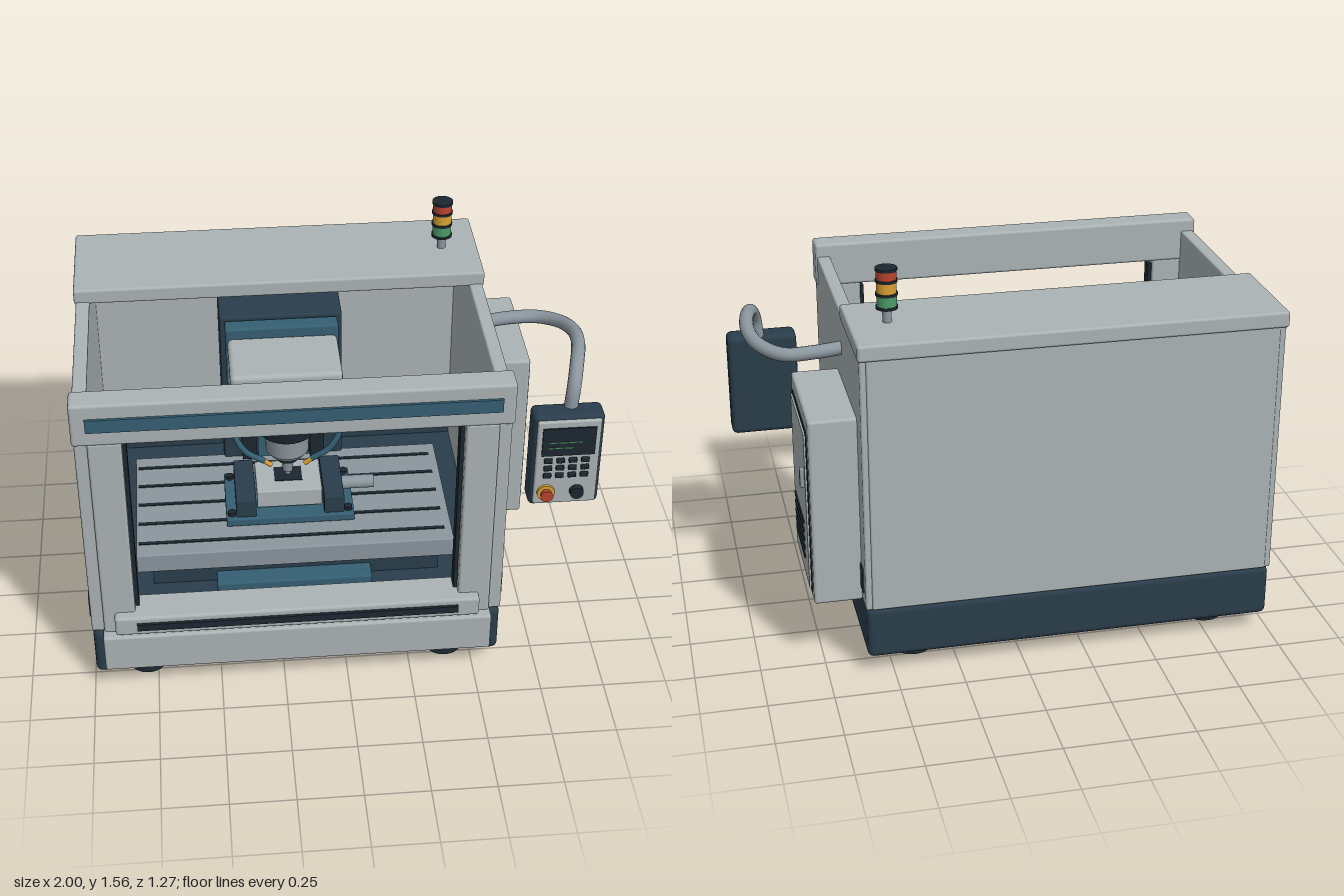
import * as THREE from 'three';
import { RoundedBoxGeometry } from 'three/addons/geometries/RoundedBoxGeometry.js';

const paint = (color) => new THREE.MeshStandardMaterial({ color });
const LIGHT = paint(0xabb3b5), NAVY = paint(0x2a3d4b), BLACK = paint(0x1c272f), TEAL = paint(0x355f73),
  STEEL = paint(0x8b969e), RED = paint(0xb8432f), AMBER = paint(0xd9a032), GREEN = paint(0x4a9a68);
const CX = -0.195; // centre line of the cabinet

export function createModel() {
  const model = new THREE.Group();
  model.name = 'millingMachine';
  let parent = model;

  const add = (name, geometry, material) => {
    const mesh = new THREE.Mesh(geometry, material);
    mesh.name = name;
    parent.add(mesh);
    return mesh;
  };
  const group = (name) => {
    parent = new THREE.Group();
    parent.name = name;
    model.add(parent);
  };
  // Box given by its extents, with an optional edge radius
  const box = (name, m, x0, x1, y0, y1, z0, z1, r = 0) => {
    const s = [x1 - x0, y1 - y0, z1 - z0];
    const g = r ? new RoundedBoxGeometry(...s, 2, r) : new THREE.BoxGeometry(...s);
    add(name, g, m).position.set((x0 + x1) / 2, (y0 + y1) / 2, (z0 + z1) / 2);
  };
  // Cylinder centred at a point, along y, x or z
  const cyl = (name, m, x, y, z, rTop, rBottom, h, axis = 'y') => {
    const c = add(name, new THREE.CylinderGeometry(rTop, rBottom, h, 32), m);
    c.position.set(x, y, z);
    if (axis === 'x') c.rotation.z = -Math.PI / 2;
    if (axis === 'z') c.rotation.x = Math.PI / 2;
  };
  const tube = (name, m, r, points) => {
    const curve = new THREE.CatmullRomCurve3(points.map((p) => new THREE.Vector3(...p)));
    add(name, new THREE.TubeGeometry(curve, 48, r, 14), m);
  };

  // Base, feet and front apron
  group('base');
  box('plinth', NAVY, -0.99, 0.6, 0.07, 0.28, -0.62, 0.58, 0.025);
  for (const x of [-0.79, 0.4])
    for (const z of [0.445, -0.435]) cyl('foot', BLACK, x, 0.04, z, 0.075, 0.075, 0.08);
  box('apron', LIGHT, -0.95, 0.56, 0.12, 0.285, 0.56, 0.625, 0.01);
  box('sill', LIGHT, -0.9, 0.51, 0.295, 0.38, 0.48, 0.625, 0.012);
  box('sillSlot', BLACK, -0.815, 0.425, 0.325, 0.355, 0.62, 0.637);

  // Enclosure, open above the work area and at the front
  group('enclosure');
  for (const s of [-1, 1]) {
    const side = (name, m, a, b, ...rest) =>
      box(name, m, CX + Math.min(s * a, s * b), CX + Math.max(s * a, s * b), ...rest);
    side('sideWall', LIGHT, 0.745, 0.798, 0.28, 1.3, -0.62, 0.57, 0.008);
    side('sideStripe', NAVY, 0.79, 0.803, 0.335, 0.435, -0.58, 0.545);
    side('frontPost', LIGHT, 0.625, 0.75, 0.28, 1.18, 0.49, 0.585, 0.01);
    side('postSeal', BLACK, 0.61, 0.627, 0.38, 1.16, 0.5, 0.55);
    side('upperSideWall', LIGHT, 0.745, 0.798, 1.28, 1.33, -0.62, -0.2);
  }
  box('backWall', LIGHT, -0.97, 0.58, 0.28, 1.3, -0.625, -0.575, 0.008);
  box('roof', LIGHT, -1, 0.61, 1.29, 1.352, -0.635, -0.195, 0.01);
  box('header', LIGHT, -1, 0.61, 1.175, 1.352, 0.485, 0.587, 0.012);
  box('headerStripe', TEAL, -0.945, 0.56, 1.24, 1.295, 0.58, 0.597);
  box('floor', NAVY, -0.945, 0.555, 0.28, 0.325, -0.58, 0.5);
  box('backSkirting', NAVY, -0.945, 0.555, 0.32, 0.4, -0.58, -0.555);

  // Slotted table on its saddle
  group('table');
  box('saddle', TEAL, -0.5, 0.11, 0.32, 0.37, -0.3, 0.44, 0.008);
  box('tableSupport', NAVY, -0.75, 0.38, 0.32, 0.41, -0.24, 0.36);
  box('tableTop', STEEL, -0.81, 0.44, 0.4, 0.485, -0.26, 0.38, 0.006);
  for (let i = 0; i < 5; i++) {
    const z = -0.187 + i * 0.123;
    box('tableSlot', BLACK, -0.8, 0.41, 0.48, 0.488, z - 0.008, z + 0.008);
  }

  // Column with rails and carriage
  group('column');
  box('columnBody', NAVY, -0.44, 0.05, 0.32, 1.17, -0.58, -0.24, 0.01);
  box('columnFace', TEAL, -0.3, -0.09, 0.485, 0.9, -0.25, -0.232);
  for (const s of [-1, 1])
    box('rail', BLACK, CX + s * 0.14 - 0.03, CX + s * 0.14 + 0.03, 0.485, 1.15, -0.25, -0.215);
  box('carriage', TEAL, -0.42, 0.03, 0.86, 1.16, -0.235, -0.165, 0.01);

  // Spindle head, spindle and coolant hoses
  group('spindleHead');
  box('headBody', LIGHT, -0.413, 0.023, 0.88, 1.12, -0.17, 0.115, 0.02);
  box('headDisplay', TEAL, -0.35, -0.04, 0.93, 1.08, 0.11, 0.123);
  const spin = (name, m, y0, y1, rTop, rBottom) => cyl(name, m, CX, (y0 + y1) / 2, 0.06, rTop, rBottom, y1 - y0);
  spin('spindleCollar', BLACK, 0.835, 0.885, 0.118, 0.112);
  spin('spindleBarrel', STEEL, 0.74, 0.835, 0.088, 0.085);
  spin('spindleNose', LIGHT, 0.72, 0.74, 0.085, 0.07);
  spin('spindleNeck', BLACK, 0.69, 0.72, 0.05, 0.045);
  spin('toolHolder', STEEL, 0.63, 0.69, 0.024, 0.02);
  spin('cutter', STEEL, 0.605, 0.63, 0.012, 0.01);
  for (const s of [-1, 1]) {
    const at = (x, y, z) => [CX + s * x, y, z];
    tube('coolantHose', TEAL, 0.012, [at(0.17, 0.89, 0.08), at(0.205, 0.84, 0.09), at(0.17, 0.76, 0.1), at(0.095, 0.7, 0.09)]);
    tube('coolantNozzle', AMBER, 0.01, [at(0.095, 0.7, 0.09), at(0.068, 0.675, 0.085)]);
  }

  // Vise holding a workpiece
  group('vise');
  box('viseBase', TEAL, -0.45, 0.06, 0.485, 0.52, -0.08, 0.23, 0.006);
  for (const s of [-1, 1]) {
    const x = CX + s * 0.175;
    box('viseJaw', NAVY, x - 0.04, x + 0.04, 0.515, 0.6, -0.06, 0.215, 0.006);
    for (const z of [-0.045, 0.195]) cyl('viseBolt', BLACK, CX + s * 0.232, 0.525, z, 0.016, 0.016, 0.02);
  }
  box('workpiece', LIGHT, -0.325, -0.065, 0.53, 0.61, -0.03, 0.175, 0.006);
  box('workpiecePocket', BLACK, -0.25, -0.14, 0.605, 0.613, 0.02, 0.11);
  cyl('viseHandle', STEEL, 0.08, 0.557, 0.07, 0.027, 0.027, 0.14, 'x');

  // Electrical cabinet on the left side
  group('electricalCabinet');
  box('cabinetBody', LIGHT, 0.6, 0.785, 0.275, 1.03, -0.525, -0.035, 0.012);
  box('doorGap', BLACK, 0.77, 0.789, 0.31, 0.975, -0.487, -0.078);
  box('door', LIGHT, 0.775, 0.796, 0.322, 0.963, -0.475, -0.09, 0.004);
  box('doorHandle', STEEL, 0.79, 0.812, 0.735, 0.812, -0.455, -0.428, 0.005);
  for (let i = 0; i < 5; i++) {
    const y = 0.412 + i * 0.037;
    box('vent', BLACK, 0.79, 0.801, y - 0.006, y + 0.006, -0.39, -0.13);
  }

  // Control pendant on its curved arm
  group('pendant');
  tube('pendantArm', STEEL, 0.027, [[0.59, 1.155, -0.14], [0.7, 1.155, -0.165], [0.82, 1.155, -0.165], [0.9, 1.17, -0.1],
    [0.935, 1.19, 0], [0.93, 1.205, 0.12], [0.905, 1.19, 0.23], [0.885, 1.13, 0.3], [0.875, 1.04, 0.315]]);
  box('pendantCase', NAVY, 0.722, 0.998, 0.635, 1.055, 0.287, 0.388, 0.022);
  box('pendantPanel', LIGHT, 0.737, 0.983, 0.652, 1.04, 0.38, 0.4, 0.008);
  box('pendantScreen', BLACK, 0.757, 0.963, 0.885, 1.012, 0.395, 0.406);
  for (const [y, w] of [[0.945, 0.13], [0.92, 0.1]])
    box('screenLine', GREEN, 0.78, 0.78 + w, y, y + 0.004, 0.405, 0.408);
  for (let row = 0; row < 3; row++)
    for (let col = 0; col < 4; col++) {
      const x = 0.785 + col * 0.048, y = 0.861 - row * 0.035;
      box('key', BLACK, x - 0.016, x + 0.016, y - 0.01, y + 0.01, 0.395, 0.411, 0.004);
    }
  cyl('stopRing', AMBER, 0.785, 0.71, 0.404, 0.035, 0.035, 0.014, 'z');
  cyl('stopButton', RED, 0.785, 0.71, 0.42, 0.025, 0.02, 0.026, 'z');
  cyl('dial', BLACK, 0.905, 0.71, 0.409, 0.026, 0.028, 0.026, 'z');

  // Signal tower
  group('signalTower');
  const tier = (name, m, y0, y1, r) => cyl(name, m, 0.465, (y0 + y1) / 2, -0.41, r, r, y1 - y0);
  tier('pole', STEEL, 1.345, 1.41, 0.017);
  [GREEN, AMBER, RED].forEach((m, i) => {
    const y = 1.405 + i * 0.051;
    tier('lampRing', BLACK, y, y + 0.01, 0.041);
    tier('lamp', m, y + 0.01, y + 0.051, 0.037);
  });
  tier('towerCap', BLACK, 1.55, 1.56, 0.041);

  return model;
}
